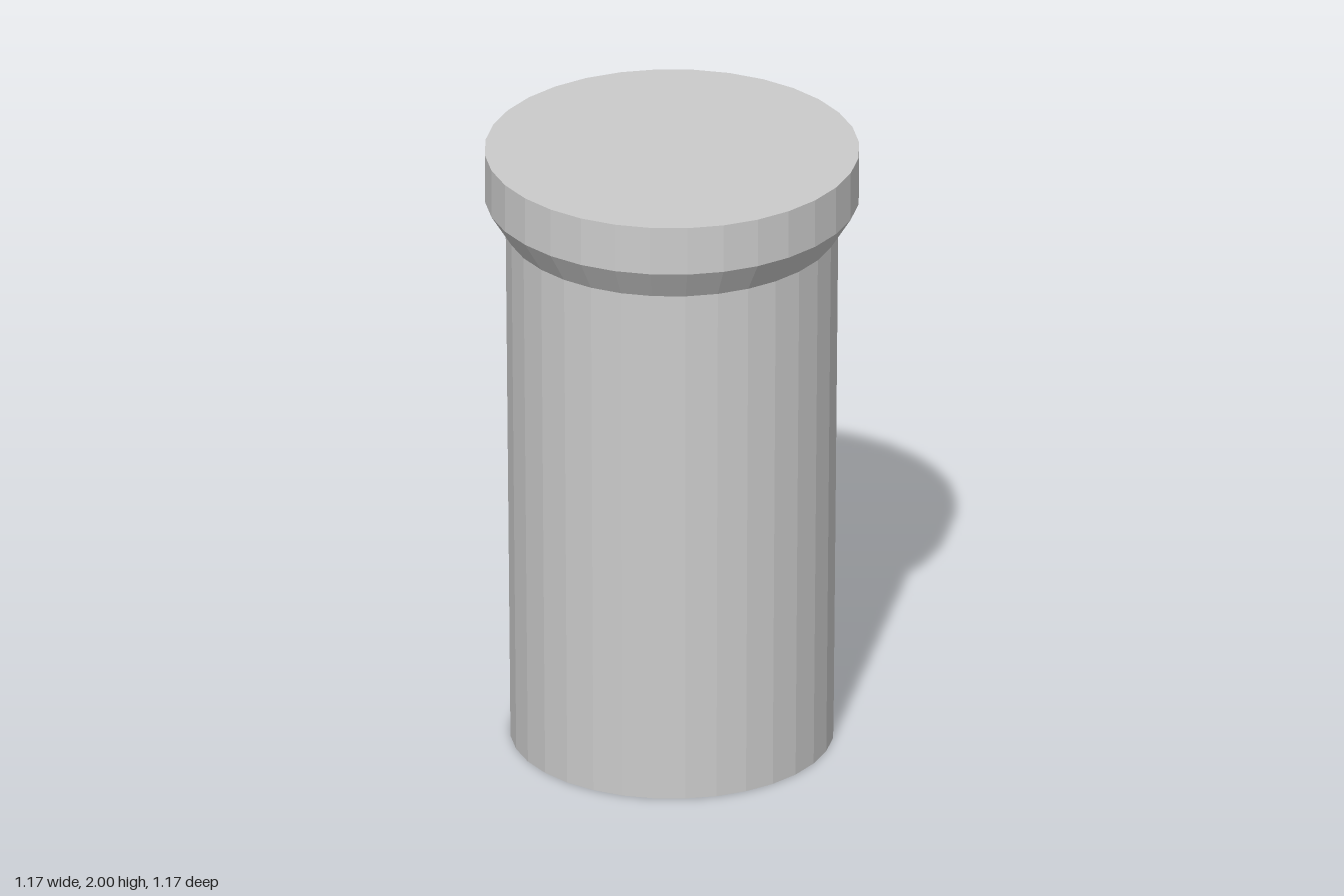
import * as THREE from 'three';

const SIDES = 32;

export function createModel() {
  const group = new THREE.Group();
  group.name = 'flaredPost';
  const material = new THREE.MeshStandardMaterial({ color: 0xcccccc, flatShading: true });

  // Closed profile, bottom to top: base, tapered shaft, flared shoulder, rim, flat top
  const profile = [
    [0, 0],
    [0.505, 0],
    [0.52, 1.735],
    [0.585, 1.84],
    [0.585, 2],
    [0, 2],
  ].map(([r, y]) => new THREE.Vector2(r, y));

  const body = new THREE.Mesh(new THREE.LatheGeometry(profile, SIDES), material);
  body.name = 'shaftWithFlaredCap';
  group.add(body);

  return group;
}
